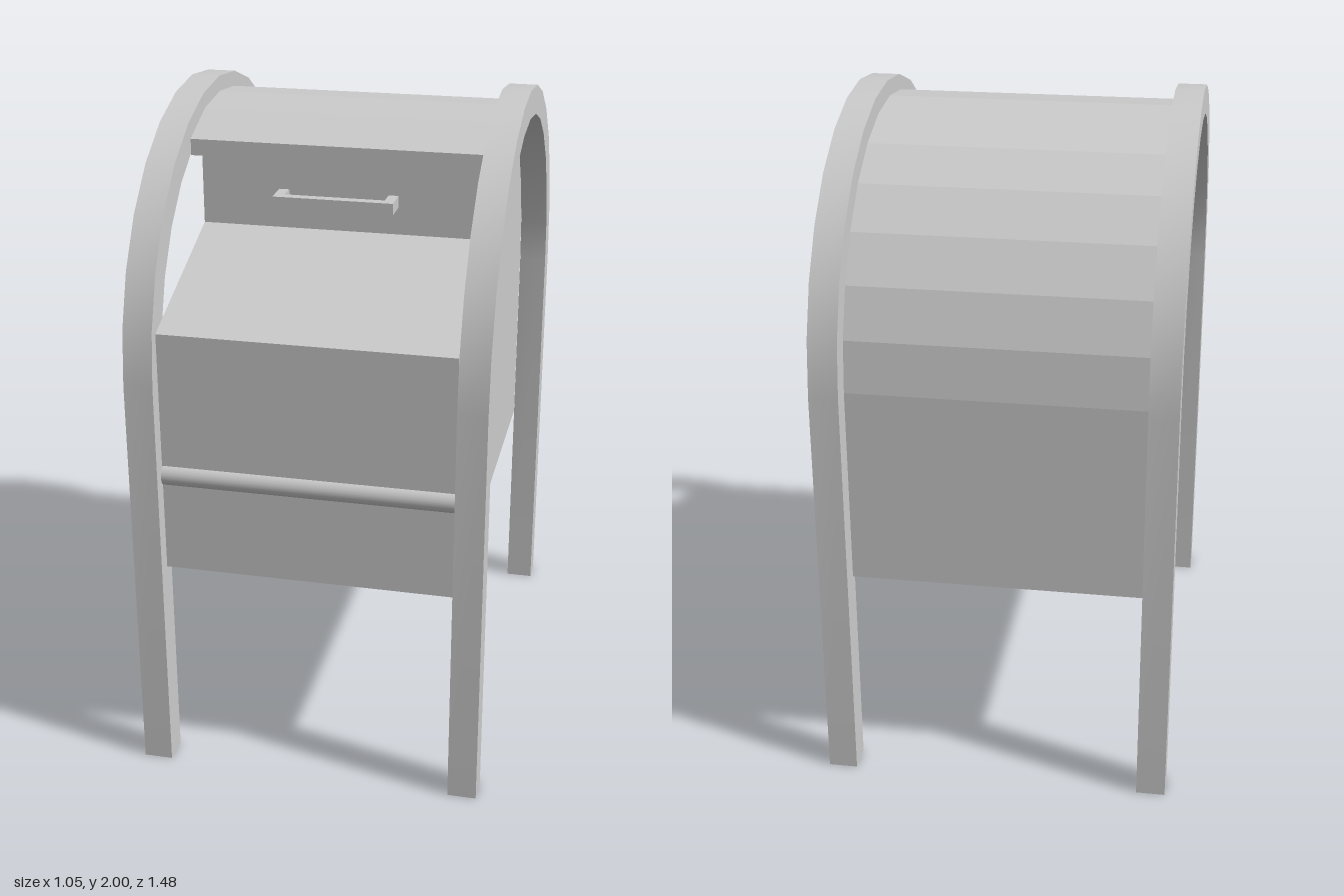
import * as THREE from 'three';
import { toCreasedNormals } from 'three/addons/utils/BufferGeometryUtils.js';

const ARC_Y = 1.26; // height where the straight sides turn into the arch
const STEPS = 14; // facets in each half circle

// Points [z, y] of a half circle between two angles, counted in facets from the front
function arch(radius, from = 0, to = STEPS) {
  const points = [];
  for (let i = from; i <= to; i++) {
    const a = (i / STEPS) * Math.PI;
    points.push([radius * Math.cos(a), ARC_Y + radius * Math.sin(a)]);
  }
  return points;
}

function extrude(points, depth) {
  const shape = new THREE.Shape(points.map(([a, b]) => new THREE.Vector2(a, b)));
  return new THREE.ExtrudeGeometry(shape, { depth, bevelEnabled: false });
}

// Side profile in (z, y), extruded across x from x0 to x1
function extrudeAcross(points, x0, x1) {
  return extrude(points, x1 - x0).rotateY(-Math.PI / 2).translate(x1, 0, 0);
}

export function createModel() {
  const group = new THREE.Group();
  const material = new THREE.MeshStandardMaterial({ color: 0xcccccc });
  const add = (name, geometry) => {
    const mesh = new THREE.Mesh(geometry, material);
    mesh.name = name;
    group.add(mesh);
    return mesh;
  };

  // Arched side frames whose ends are the legs
  const outer = 0.74, inner = 0.653;
  const frameProfile = [
    [outer, 0], ...arch(outer), [-outer, 0],
    [-inner, 0], ...arch(inner).reverse(), [inner, 0],
  ];
  for (const [name, x0] of [['leftFrame', 0.438], ['rightFrame', -0.525]]) {
    add(name, toCreasedNormals(extrudeAcross(frameProfile, x0, x0 + 0.087), 0.5));
  }

  // Box with faceted round top, recessed opening and sloping front ledge
  const r = 0.693, lipZ = 0.305;
  const bodyProfile = [
    [r, 0.66], [r, 1.408], // front panel
    [0.2, 1.592], [0.2, 1.828], [lipZ, 1.828], [lipZ, 1.877], // ledge, recess and hood lip
    ...arch(r, 6), // faceted top and back
    [-r, 0.66],
  ];
  add('body', extrudeAcross(bodyProfile, -0.438, 0.433));

  // Round rail across the front
  const rail = add('frontRail', new THREE.CylinderGeometry(0.034, 0.034, 0.873, 24).rotateZ(Math.PI / 2));
  rail.position.set(0, 0.965, 0.678);

  // U-shaped pull handle in the recess, outlined in (x, z)
  const w = 0.182, t = 0.03;
  const handleProfile = [
    [-w, 0.2], [-w + t, 0.2], [-w + t, 0.255], [w - t, 0.255],
    [w - t, 0.2], [w, 0.2], [w, 0.285], [-w, 0.285],
  ];
  const handle = add('handle', extrude(handleProfile, 0.036).rotateX(Math.PI / 2));
  handle.position.set(-0.017, 1.711, 0);

  return group;
}
